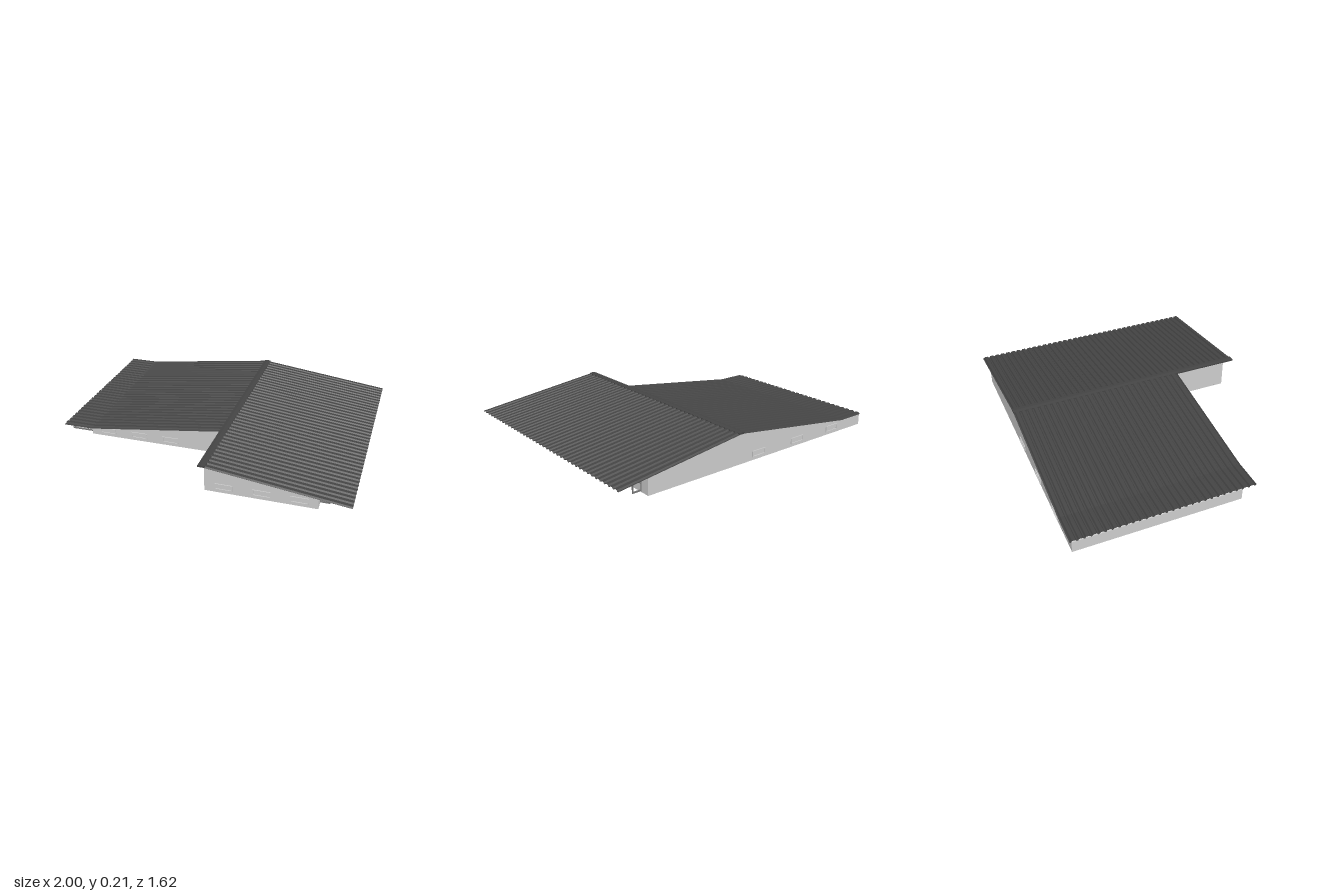
import * as THREE from 'three';

const WALL = new THREE.MeshStandardMaterial({ color: 0xcccccc, side: THREE.DoubleSide });
const ROOF = new THREE.MeshStandardMaterial({ color: 0x444444, side: THREE.DoubleSide, flatShading: true });
const STEEL = new THREE.MeshStandardMaterial({ color: 0x777777 });

const RIDGE = 0.115;
// Underside height of the roof at x
function roofY(x) {
  if (x < -0.8) return 0.074;
  if (x < RIDGE) return 0.074 + (0.122 * (x + 0.8)) / (RIDGE + 0.8);
  return 0.196 - (0.112 * (x - RIDGE)) / (1 - RIDGE);
}

function box(name, parent, mat, x0, x1, y0, y1, z0, z1) {
  const m = new THREE.Mesh(new THREE.BoxGeometry(x1 - x0, y1 - y0, z1 - z0), mat);
  m.position.set((x0 + x1) / 2, (y0 + y1) / 2, (z0 + z1) / 2);
  m.name = name;
  parent.add(m);
}

// Wall along x whose top follows the roof; its back face lies at z
function slopedWall(name, parent, x0, x1, z) {
  const s = new THREE.Shape();
  s.moveTo(x0, 0);
  s.lineTo(x1, 0);
  s.lineTo(x1, roofY(x1));
  for (const k of [RIDGE, -0.8]) if (k > x0 && k < x1) s.lineTo(k, roofY(k));
  s.lineTo(x0, roofY(x0));
  s.closePath();
  const m = new THREE.Mesh(new THREE.ExtrudeGeometry(s, { depth: 0.008, bevelEnabled: false }), WALL);
  m.position.z = z;
  m.name = name;
  parent.add(m);
}

// Thin raised window surround on a wall face at z
function windowFrame(parent, x, z) {
  const g = new THREE.Group();
  g.name = 'windowFrame';
  const w = 0.055, t = 0.006, d = 0.006, y0 = 0.02, y1 = 0.06;
  for (const y of [y0, y1 - t]) box('frameRail', g, WALL, x - w, x + w, y, y + t, z - d, z + d);
  for (const s of [-1, 1]) {
    const c = x + s * (w - t / 2);
    box('frameStile', g, WALL, c - t / 2, c + t / 2, y0, y1, z - d, z + d);
  }
  parent.add(g);
}

// Ribbed sheet: a stepped profile along z swept over the given x stations
function roofSheet(name, parent, stations, z0, z1) {
  const profile = [];
  const pitch = 0.0415, lift = 0.009;
  for (let z = z0; z < z1 - 0.001; z += pitch) {
    for (const [f, y] of [[0, 0], [0.2, 0], [0.34, lift], [0.86, lift]]) {
      if (z + f * pitch < z1) profile.push([z + f * pitch, y]);
    }
  }
  profile.push([z1, 0]);
  const pos = [], idx = [];
  for (const x of stations) for (const [z, y] of profile) pos.push(x, roofY(x) + 0.001 + y, z);
  const n = profile.length;
  for (let i = 0; i < stations.length - 1; i++) {
    for (let j = 0; j < n - 1; j++) {
      const a = i * n + j, b = a + n;
      idx.push(a, a + 1, b, b, a + 1, b + 1);
    }
  }
  const g = new THREE.BufferGeometry();
  g.setAttribute('position', new THREE.Float32BufferAttribute(pos, 3));
  g.setIndex(idx);
  g.computeVertexNormals();
  const m = new THREE.Mesh(g, ROOF);
  m.name = name;
  parent.add(m);
}

// Square steel bar between two points in an x-y plane at z
function bar(parent, name, ax, ay, bx, by, z, t = 0.008) {
  const m = new THREE.Mesh(new THREE.BoxGeometry(Math.hypot(bx - ax, by - ay), t, t), STEEL);
  m.position.set((ax + bx) / 2, (ay + by) / 2, z);
  m.rotation.z = Math.atan2(by - ay, bx - ax);
  m.name = name;
  parent.add(m);
}

// Truss with bottom chord, sloping top chord and zigzag web
function truss(parent, x0, x1, z) {
  const g = new THREE.Group();
  g.name = 'roofTruss';
  const low = 0.006, top = (x) => roofY(x) - 0.006;
  const knots = [x0, -0.8, RIDGE, x1].filter((k, i, a) => k >= x0 && a.indexOf(k) === i);
  for (let i = 0; i < knots.length - 1; i++) {
    const a = knots[i], b = knots[i + 1];
    bar(g, 'topChord', a, top(a), b, top(b), z);
  }
  bar(g, 'bottomChord', x0, low, x1, low, z);
  const n = Math.round((x1 - x0) / 0.115);
  for (let i = 0; i < n; i++) {
    const a = x0 + ((x1 - x0) * i) / n, b = x0 + ((x1 - x0) * (i + 1)) / n;
    if (i % 2) bar(g, 'webDiagonal', a, top(a), b, low, z, 0.006);
    else bar(g, 'webDiagonal', a, low, b, top(b), z, 0.006);
    bar(g, 'webPost', b, low, b, top(b), z, 0.006);
  }
  // Bracket under the overhanging eave
  bar(g, 'eaveBracketArm', 0.8, 0.012, 0.86, 0.012, z);
  bar(g, 'eaveBracketPost', 0.857, 0.008, 0.857, roofY(0.857), z, 0.007);
  bar(g, 'eaveBracketBrace', 0.8, 0.05, 0.857, 0.1, z, 0.007);
  bar(g, 'eaveBracketTop', 0.8, top(0.8), 0.86, top(0.86), z);
  parent.add(g);
}

export function createModel() {
  const model = new THREE.Group();
  model.name = 'hallBuilding';

  // Outer walls of the L-shaped plan
  const walls = new THREE.Group();
  walls.name = 'walls';
  model.add(walls);
  slopedWall('backWall', walls, -1, 0.8, -0.8);
  slopedWall('frontWallWide', walls, RIDGE, 0.8, 0.737);
  slopedWall('frontWallSet', walls, -0.83, RIDGE, 0.3);
  slopedWall('porchFrontWall', walls, -1, -0.83, 0.265);
  box('leftSideWall', walls, WALL, 0.792, 0.8, 0, roofY(0.8), -0.8, 0.745);
  box('rightSideWall', walls, WALL, -1, -0.992, 0, 0.074, -0.8, 0.273);
  box('notchWall', walls, WALL, RIDGE, RIDGE + 0.008, 0, 0.195, 0.3, 0.745);

  // Inner room in the back corner
  box('roomSideWall', walls, WALL, RIDGE, RIDGE + 0.008, 0, 0.19, -0.8, -0.2);
  slopedWall('roomFrontWall', walls, RIDGE, 0.8, -0.208);

  // Window surrounds
  for (const x of [-0.71, -0.375, -0.035]) windowFrame(walls, x, -0.8);
  for (const x of [0.235, 0.465, 0.69]) windowFrame(walls, x, 0.745);
  for (const x of [-0.71, -0.485, -0.265]) windowFrame(walls, x, 0.308);

  // Roof slopes and ridge cap
  const roof = new THREE.Group();
  roof.name = 'roof';
  model.add(roof);
  roofSheet('roofLeftSlope', roof, [RIDGE, 1], -0.81, 0.81);
  roofSheet('roofRightSlope', roof, [-1, -0.8, RIDGE], -0.81, 0.37);
  const cap = new THREE.Shape();
  for (const [x, y] of [[0.095, 0.195], [0.14, 0.195], [0.14, 0.204], [RIDGE, 0.207], [0.095, 0.204]]) {
    if (cap.curves.length || cap.currentPoint.x) cap.lineTo(x, y);
    else cap.moveTo(x, y);
  }
  cap.closePath();
  const ridge = new THREE.Mesh(new THREE.ExtrudeGeometry(cap, { depth: 1.62, bevelEnabled: false }), ROOF);
  ridge.position.z = -0.81;
  ridge.name = 'ridgeCap';
  roof.add(ridge);

  // Row of trusses, shorter where the plan narrows
  const frame = new THREE.Group();
  frame.name = 'roofFrame';
  model.add(frame);
  for (let i = 0; i < 8; i++) {
    const z = -0.737 + i * 0.2025;
    truss(frame, z > 0.3 ? RIDGE : -0.99, 0.8, z);
  }
  // Beams along the porch line
  for (const y of [0.002, 0.062]) box('porchBeam', frame, STEEL, -0.835, -0.827, y, y + 0.008, -0.8, 0.3);

  return model;
}
